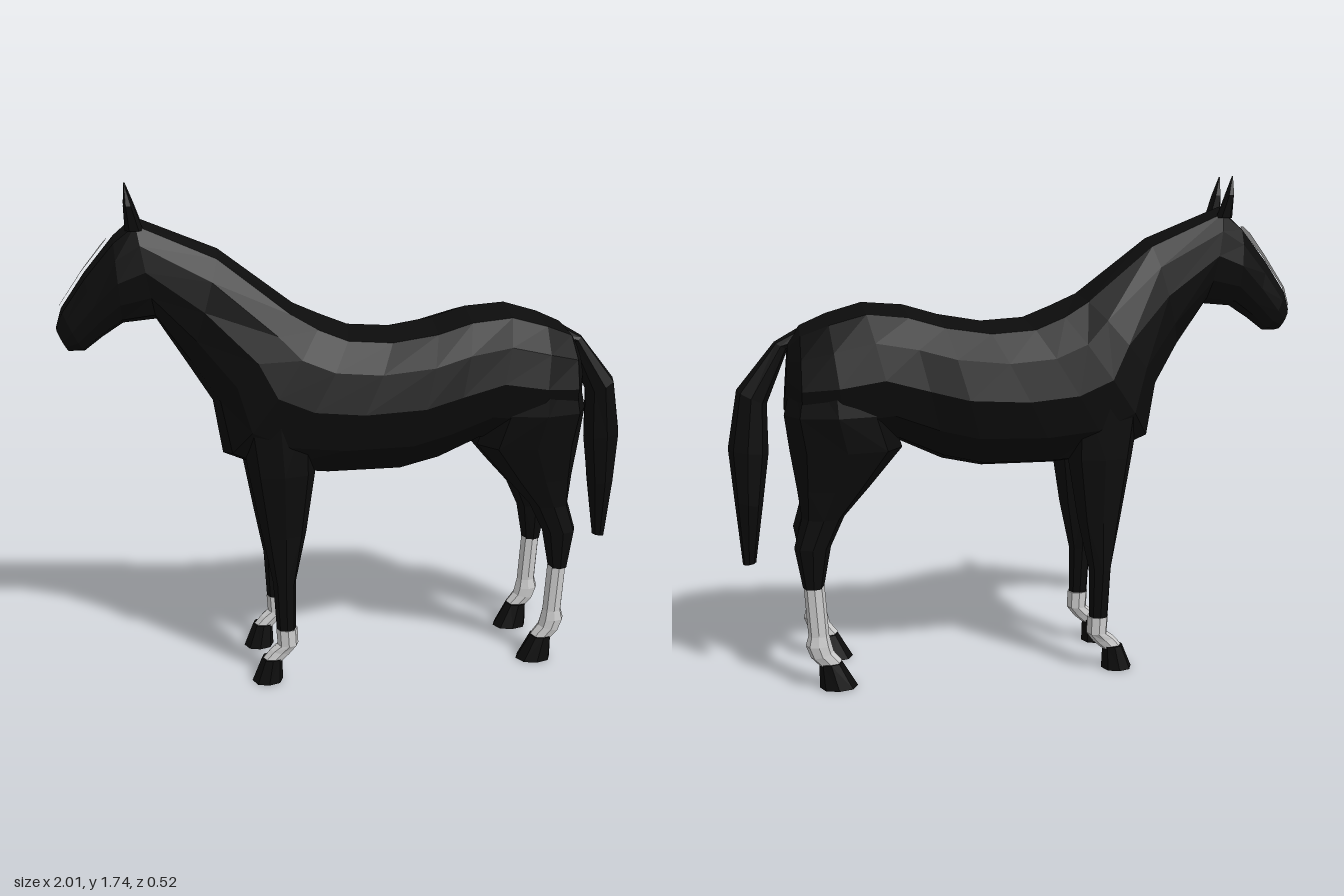
import * as THREE from 'three';

// Lofts a closed skin through rings [ax, ay, bx, by, halfWidth, zCentre]:
// a and b are the two opposite ends of the ring in the side profile.
function loft(rings, sides, zScale = 1) {
  const pos = [], idx = [];
  for (const [ax, ay, bx, by, w, zc = 0] of rings) {
    for (let i = 0; i < sides; i++) {
      const t = (i / sides) * Math.PI * 2, c = Math.cos(t), s = Math.sin(t);
      pos.push(
        (ax + bx) / 2 + ((ax - bx) / 2) * c,
        (ay + by) / 2 + ((ay - by) / 2) * c,
        (zc + w * Math.sign(s) * Math.abs(s) ** 0.8) * zScale);
    }
  }
  const last = rings.length - 1;
  for (let r = 0; r < last; r++) {
    for (let i = 0; i < sides; i++) {
      const a = r * sides + i, b = r * sides + (i + 1) % sides;
      idx.push(a, b, a + sides, b, b + sides, a + sides);
    }
  }
  // End caps
  for (const r of [0, last]) {
    const [ax, ay, bx, by, , zc = 0] = rings[r], centre = pos.length / 3;
    pos.push((ax + bx) / 2, (ay + by) / 2, zc * zScale);
    for (let i = 0; i < sides; i++) {
      const a = r * sides + i, b = r * sides + (i + 1) % sides;
      if (r === 0) idx.push(centre, b, a); else idx.push(centre, a, b);
    }
  }
  // Turn the faces outward if the enclosed volume comes out negative
  const v = (i) => new THREE.Vector3().fromArray(pos, i * 3);
  const mid = v(pos.length / 3 - 1);
  let volume = 0;
  for (let i = 0; i < idx.length; i += 3) {
    const [p, q, r] = [v(idx[i]), v(idx[i + 1]), v(idx[i + 2])].map((e) => e.sub(mid));
    volume += p.dot(q.cross(r));
  }
  if (volume < 0) idx.reverse();
  const g = new THREE.BufferGeometry();
  g.setAttribute('position', new THREE.Float32BufferAttribute(pos, 3));
  g.setIndex(idx);
  const flat = g.toNonIndexed();
  flat.computeVertexNormals();
  return flat;
}

// Horizontal leg section from x0 to x1 and z0 to z1
const section = (y, x0, x1, z0, z1) => [x0, y, x1, y, (z1 - z0) / 2, (z0 + z1) / 2];

export function createModel() {
  const mat = (name, color, extra = {}) => {
    const m = new THREE.MeshStandardMaterial({ color, flatShading: true, ...extra });
    m.name = name;
    return m;
  };
  const coat = mat('black coat', 0x0c0c0c);
  const white = mat('white markings', 0xcccccc, { side: THREE.DoubleSide });

  const horse = new THREE.Group();
  horse.name = 'horse';
  const add = (name, geometry, material, parent = horse) => {
    const mesh = new THREE.Mesh(geometry, material);
    mesh.name = name;
    parent.add(mesh);
  };

  // Head, neck and trunk as one skin, muzzle to rump
  add('body', loft([
    [-1.0, 1.27, -0.96, 1.19, 0.045],
    [-0.98, 1.335, -0.91, 1.19, 0.065],
    [-0.9, 1.45, -0.85, 1.235, 0.08],
    [-0.8, 1.57, -0.78, 1.28, 0.105],
    [-0.73, 1.63, -0.67, 1.29, 0.11],
    [-0.46, 1.52, -0.57, 1.13, 0.125],
    [-0.21, 1.33, -0.49, 1.0, 0.205],
    [-0.12, 1.29, -0.46, 0.81, 0.23],
    [-0.02, 1.25, -0.32, 0.75, 0.24],
    [0.13, 1.24, -0.13, 0.73, 0.248],
    [0.28, 1.265, 0.13, 0.73, 0.258],
    [0.4, 1.3, 0.27, 0.76, 0.245],
    [0.54, 1.31, 0.42, 0.83, 0.25],
    [0.66, 1.275, 0.6, 0.82, 0.26],
    [0.75, 1.235, 0.75, 0.84, 0.235],
    [0.79, 1.18, 0.81, 0.95, 0.13],
  ], 12), coat);

  // Tail
  add('tail', loft([
    [0.74, 1.235, 0.76, 1.14, 0.03],
    [0.835, 1.18, 0.79, 1.155, 0.035],
    [0.965, 1.02, 0.865, 0.97, 0.065],
    [1.0, 0.82, 0.865, 0.8, 0.065],
    [0.985, 0.64, 0.89, 0.62, 0.058],
    [0.965, 0.41, 0.92, 0.415, 0.024],
  ], 8), coat);

  // Blaze, a thin strip down the face
  const path = [[-0.815, 1.556, 0.012], [-0.835, 1.533, 0.03], [-0.9, 1.453, 0.016],
    [-0.98, 1.338, 0.01], [-1.0, 1.272, 0.008]];
  const strip = [], faces = [];
  path.forEach(([x, y, w], i) => {
    strip.push(x - 0.006, y + 0.005, w, x - 0.006, y + 0.005, -w);
    if (i) faces.push(2 * i - 2, 2 * i - 1, 2 * i, 2 * i - 1, 2 * i + 1, 2 * i);
  });
  const blaze = new THREE.BufferGeometry();
  blaze.setAttribute('position', new THREE.Float32BufferAttribute(strip, 3));
  blaze.setIndex(faces);
  blaze.computeVertexNormals();
  add('blaze', blaze, white);

  for (const [side, z] of [['left', -1], ['right', 1]]) {
    // Ear
    add(`${side} ear`, loft([
      [-0.76, 1.59, -0.7, 1.59, 0.022, 0.06],
      [-0.762, 1.67, -0.728, 1.67, 0.027, 0.067],
      [-0.757, 1.735, -0.753, 1.735, 0.003, 0.065],
    ], 6, z), coat);

    // Front leg
    const front = new THREE.Group();
    front.name = `${side} front leg`;
    add('upper leg', loft([
      section(1.0, -0.42, -0.15, 0.05, 0.22),
      section(0.77, -0.385, -0.155, 0.055, 0.215),
      section(0.55, -0.345, -0.19, 0.08, 0.203),
      section(0.37, -0.31, -0.23, 0.1, 0.2),
      section(0.19, -0.3, -0.232, 0.118, 0.185),
    ], 8, z), coat, front);
    add('sock', loft([
      section(0.195, -0.302, -0.226, 0.113, 0.187),
      section(0.135, -0.298, -0.224, 0.113, 0.187),
      [-0.325, 0.115, -0.25, 0.1, 0.032, 0.148],
      [-0.35, 0.085, -0.285, 0.07, 0.032, 0.148],
    ], 8, z), white, front);
    add('hoof', loft([
      [-0.355, 0.085, -0.283, 0.085, 0.04, 0.148],
      section(0.0, -0.39, -0.28, 0.093, 0.2),
    ], 8, z), coat, front);

    // Hind leg
    const hind = new THREE.Group();
    hind.name = `${side} hind leg`;
    add('thigh', loft([
      section(1.12, 0.52, 0.77, 0.04, 0.235),
      section(0.95, 0.46, 0.81, 0.015, 0.257),
      section(0.83, 0.42, 0.795, 0.025, 0.24),
      section(0.7, 0.53, 0.775, 0.05, 0.215),
      section(0.6, 0.62, 0.762, 0.075, 0.203),
      section(0.5, 0.668, 0.79, 0.095, 0.203),
      section(0.36, 0.695, 0.765, 0.115, 0.19),
    ], 8, z), coat, hind);
    add('sock', loft([
      section(0.365, 0.693, 0.763, 0.118, 0.184),
      section(0.19, 0.682, 0.752, 0.12, 0.182),
      section(0.155, 0.674, 0.762, 0.113, 0.187),
      [0.668, 0.13, 0.745, 0.11, 0.036, 0.15],
      [0.64, 0.095, 0.712, 0.075, 0.032, 0.15],
    ], 8, z), white, hind);
    add('hoof', loft([
      [0.64, 0.09, 0.718, 0.09, 0.04, 0.148],
      section(0.0, 0.588, 0.718, 0.093, 0.2),
    ], 8, z), coat, hind);
    horse.add(front, hind);
  }
  return horse;
}
